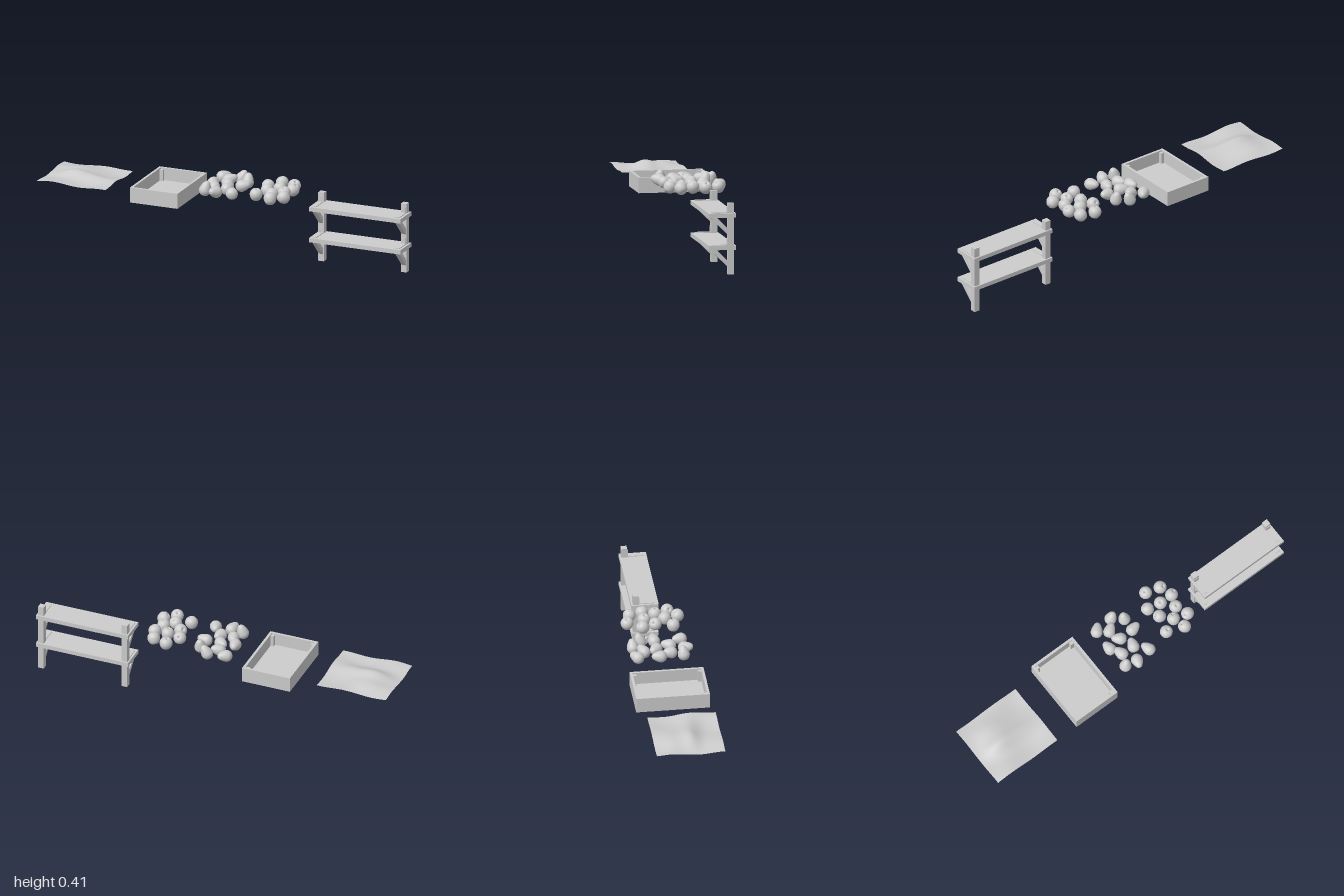
import * as THREE from 'three';

const mat = new THREE.MeshStandardMaterial({ color: 0xcccccc });
const clothMat = new THREE.MeshStandardMaterial({ color: 0xcccccc, side: THREE.DoubleSide });

function add(parent, geo, name, material = mat) {
  const mesh = new THREE.Mesh(geo, material);
  mesh.name = name;
  parent.add(mesh);
  return mesh;
}

// Box given by its lower and upper limits
function box(parent, name, [x0, x1], [y0, y1], [z0, z1]) {
  const mesh = add(parent, new THREE.BoxGeometry(x1 - x0, y1 - y0, z1 - z0), name);
  mesh.position.set((x0 + x1) / 2, (y0 + y1) / 2, (z0 + z1) / 2);
  return mesh;
}

function group(parent, name) {
  const g = new THREE.Group();
  g.name = name;
  parent.add(g);
  return g;
}

// Rumpled sheet: gentle waves with one long fold
function buildCloth(root) {
  const geo = new THREE.PlaneGeometry(0.39, 0.36, 28, 28).rotateX(-Math.PI / 2);
  geo.translate(-0.805, 0, 0.02);
  const p = geo.attributes.position;
  const bump = (x, z, cx, cz, sx, sz) => Math.exp(-(((x - cx) / sx) ** 2) - ((z - cz) / sz) ** 2);
  for (let i = 0; i < p.count; i++) {
    const x = p.getX(i), z = p.getZ(i);
    const y = 0.32
      + 0.005 * Math.sin(22 * x + 9 * z + 1)
      + 0.004 * Math.cos(26 * z - 8 * x)
      + 0.024 * bump(x, z, -0.86, 0.035, 0.1, 0.045)
      + 0.012 * bump(x, z, -0.72, 0.05, 0.08, 0.05)
      + 0.016 * bump(x, z, -0.88, -0.08, 0.09, 0.07);
    p.setY(i, y);
  }
  geo.computeVertexNormals();
  add(root, geo, 'cloth', clothMat);
}

// Open crate with inner corner posts
function buildCrate(root) {
  const crate = group(root, 'crate');
  const [x0, x1, z0, z1, t] = [-0.475, -0.205, -0.2, 0.188, 0.014];
  const y = [0.268, 0.35];
  box(crate, 'crateFloor', [x0 + t, x1 - t], [0.268, 0.282], [z0 + t, z1 - t]);
  box(crate, 'crateLeftWall', [x1 - t, x1], y, [z0, z1]);
  box(crate, 'crateRightWall', [x0, x0 + t], y, [z0, z1]);
  box(crate, 'crateBackWall', [x0 + t, x1 - t], y, [z0, z0 + t]);
  box(crate, 'crateFrontWall', [x0 + t, x1 - t], y, [z1 - t, z1]);
  for (const x of [x0 + t, x1 - t - 0.018])
    for (const z of [z0 + t, z1 - t - 0.018])
      box(crate, 'cratePost', [x, x + 0.018], [0.282, 0.343], [z, z + 0.018]);
}

function lathe(points) {
  const curve = new THREE.SplineCurve(points.map(([r, y]) => new THREE.Vector2(r, y)));
  const pts = curve.getPoints(24);
  pts.forEach((v) => { v.x = Math.max(v.x, 0); });
  return new THREE.LatheGeometry(pts, 24);
}

// Pear-shaped fruit: x, z, heading of the narrow end, lean from upright
function buildPears(root) {
  const pears = group(root, 'pears');
  const geo = lathe([[0, -0.036], [0.019, -0.031], [0.031, -0.012], [0.029, 0.008],
    [0.021, 0.028], [0.012, 0.041], [0, 0.046]]);
  const list = [
    [-0.088, -0.143, 0.8, 1.4], [0.013, -0.155, 0.2, 0.5], [0.067, -0.11, 1.5, 0.3],
    [-0.035, -0.103, 0.6, 1.2], [-0.094, -0.025, 1.7, 1.4], [-0.018, -0.037, 2.5, 1.4],
    [0.067, -0.037, 0.15, 1.3], [0.013, 0.037, 1.3, 1.4], [-0.061, 0.034, 1.9, 1.4],
    [-0.085, 0.1, 0.4, 0.3], [-0.02, 0.115, 4.4, 1.3], [0.067, 0.1, 1.9, 1.4],
  ];
  for (const [x, z, heading, lean] of list) {
    const pear = add(pears, geo, 'pear');
    pear.rotation.set(0, heading, -lean, 'YXZ');
    pear.position.set(x, 0.362 + 0.004 * Math.cos(lean), z);
  }
}

// Round fruit with a dimple at each end
function buildApples(root) {
  const apples = group(root, 'apples');
  const geo = lathe([[0, -0.027], [0.012, -0.031], [0.026, -0.021], [0.034, 0.002],
    [0.028, 0.022], [0.014, 0.032], [0.005, 0.029], [0, 0.024]]);
  const list = [[0.243, -0.155], [0.32, -0.134], [0.196, -0.077], [0.27, -0.064], [0.342, -0.064],
    [0.222, -0.008], [0.32, 0], [0.27, 0.048], [0.348, 0.068], [0.196, 0.082], [0.291, 0.117]];
  list.forEach(([x, z], i) => {
    const apple = add(apples, geo, 'apple');
    apple.rotation.set(0, i * 2.4, 0.25 + 0.35 * (i % 3), 'YXZ');
    apple.position.set(x, 0.367, z);
  });
}

// Two-tier shelf on posts with diagonal braces
function buildShelf(root) {
  const shelf = group(root, 'shelf');
  const brace = new THREE.Shape([[0.033, 0], [0, 0], [-0.06, -0.06], [-0.06, -0.092]]
    .map(([z, y]) => new THREE.Vector2(-z, y)));
  const braceGeo = new THREE.ExtrudeGeometry(brace, { depth: 0.024, bevelEnabled: false });
  braceGeo.translate(0, 0, -0.012).rotateY(Math.PI / 2);
  const postX = [0.504, 0.975];
  for (const x of postX) box(shelf, 'post', [x - 0.016, x + 0.016], [0, 0.376], [-0.092, -0.06]);
  for (const y of [0.131, 0.301]) {
    box(shelf, 'shelfBoard', [0.48, 1], [y, y + 0.023], [-0.1, 0.043]);
    for (const x of postX) {
      add(shelf, braceGeo, 'brace').position.set(x, y, 0);
      // Angle plate joining board and post
      box(shelf, 'plateFoot', [x - 0.012, x + 0.012], [y + 0.023, y + 0.027], [-0.06, 0.025]);
      box(shelf, 'plateBack', [x - 0.012, x + 0.012], [y + 0.027, y + 0.058], [-0.06, -0.056]);
    }
  }
}

export function createModel() {
  const root = new THREE.Group();
  root.name = 'marketSet';
  buildCloth(root);
  buildCrate(root);
  buildPears(root);
  buildApples(root);
  buildShelf(root);
  return root;
}
